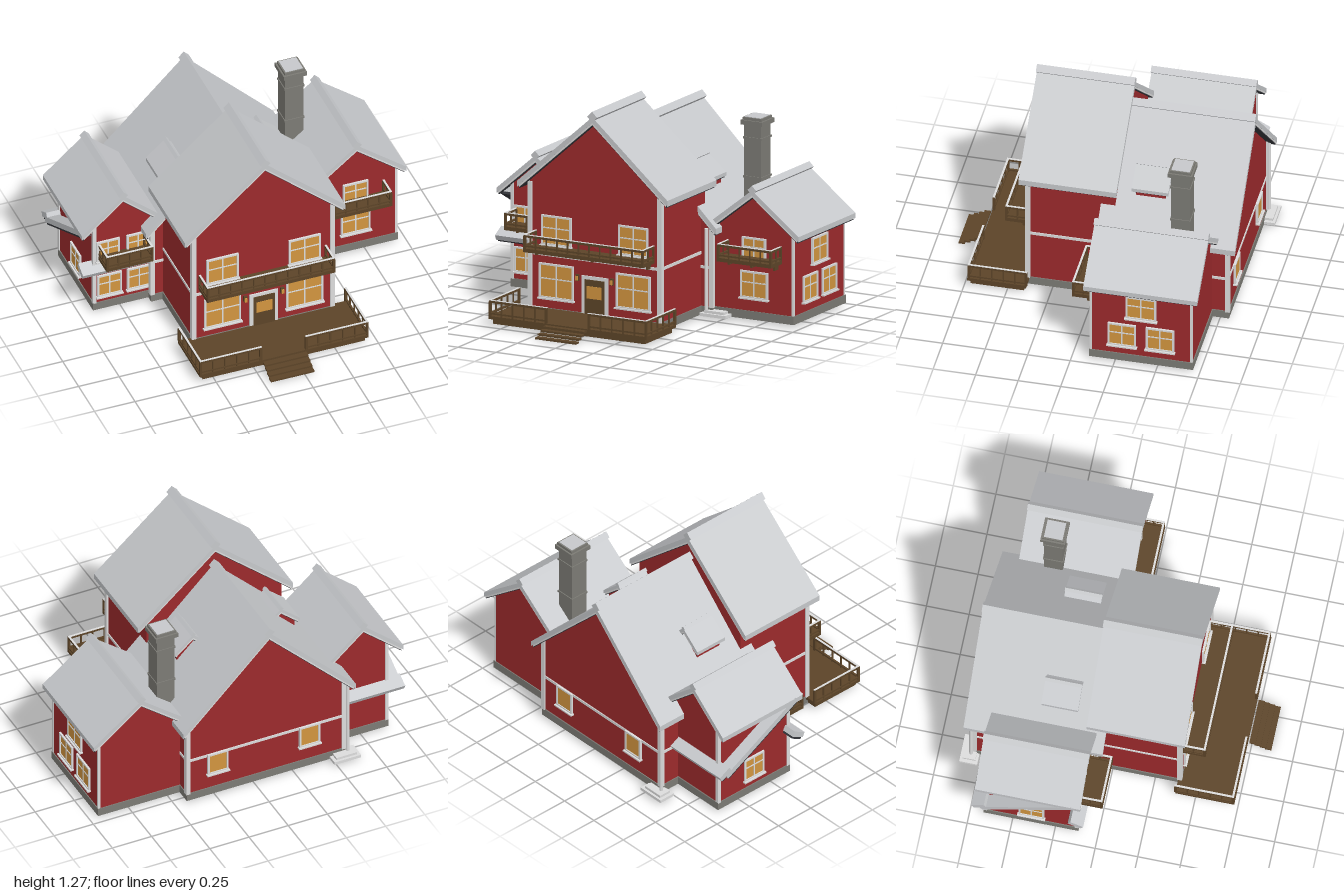
import * as THREE from 'three';

const mat = (name, color) => Object.assign(new THREE.MeshStandardMaterial({ color }), { name });

export function createModel() {
  const root = new THREE.Group();
  root.name = 'house';
  const wall = mat('barn red', 0x9c2a2c), roofM = mat('roof grey', 0xc6c8cb), trim = mat('trim white', 0xdcdcdc);
  const dark = mat('soffit dark', 0x34363b), stone = mat('stone grey', 0x7c7b75);
  const wood = mat('wood brown', 0x5c4428), glass = mat('window amber', 0xd2953f);

  // box given by its minimum and maximum on each axis
  const box = (name, m, x0, x1, y0, y1, z0, z1, parent = root) => {
    const b = new THREE.Mesh(new THREE.BoxGeometry(x1 - x0, y1 - y0, z1 - z0), m);
    b.position.set((x0 + x1) / 2, (y0 + y1) / 2, (z0 + z1) / 2);
    b.name = name;
    parent.add(b);
    return b;
  };
  // polygon in x, y extruded from z0 to z1
  const prism = (name, m, pts, z0, z1) => {
    const s = new THREE.Shape(pts.map(p => new THREE.Vector2(p[0], p[1])));
    const b = new THREE.Mesh(new THREE.ExtrudeGeometry(s, { depth: z1 - z0, bevelEnabled: false }), m);
    b.position.z = z0;
    b.name = name;
    root.add(b);
  };

  // gabled roof: light slab, white rake boards, dark soffit and square ridge cap
  const roof = (name, cx, ridge, half, eave, z0, z1, t = 0.035, cap = 0.046) => {
    const k = (ridge - eave) / half;
    const chevron = (part, m, h, drop, th, a, b) => prism(name + part, m, [
      [cx, ridge - drop], [cx - h, ridge - drop - k * h], [cx - h, ridge - drop - th - k * h],
      [cx, ridge - drop - th], [cx + h, ridge - drop - th - k * h], [cx + h, ridge - drop - k * h]], a, b);
    chevron('Slab', roofM, half, 0, t, z0, z1);
    chevron('Soffit', dark, half - 0.01, t, 0.018, z0 + 0.006, z1 - 0.006);
    chevron('RakeFront', trim, half - 0.012, t, 0.012, z1 - 0.006, z1 - 0.001);
    chevron('RakeBack', trim, half - 0.012, t, 0.012, z0 + 0.001, z0 + 0.006);
    if (cap) {
      const c = box(name + 'RidgeCap', roofM, -cap / 2, cap / 2, -cap / 2, cap / 2, z0 - 0.002, z1 + 0.002);
      c.position.set(cx, ridge, (z0 + z1) / 2);
      c.rotation.z = Math.PI / 4;
    }
  };
  // five-sided wall block with its stone foundation
  const block = (name, x0, x1, z0, z1, cx, ridge, k) => {
    const y = x => ridge - 0.045 - k * Math.abs(x - cx);
    prism(name + 'Walls', wall, [[x0, 0.06], [x1, 0.06], [x1, y(x1)], [cx, ridge - 0.045], [x0, y(x0)]], z0, z1);
    box(name + 'Foundation', stone, x0 - 0.006, x1 + 0.006, 0.015, 0.064, z0 - 0.006, z1 + 0.006);
  };
  const post = (x, z, top, w = 0.028) =>
    box('cornerBoard', trim, x - w / 2, x + w / 2, 0.06, top, z - w / 2, z + w / 2);

  // the four volumes and their roofs
  block('frontBlock', -0.505, 0.355, -0.12, 0.4, -0.075, 1.235, 0.88);
  roof('frontRoof', -0.075, 1.235, 0.495, 0.8, -0.14, 0.435);
  block('rearBlock', -0.575, 0.425, -0.8, -0.075, -0.075, 1.09, 1);
  roof('rearRoof', -0.075, 1.09, 0.55, 0.54, -0.85, -0.035);
  block('leftWing', 0.4, 0.945, -0.705, -0.105, 0.69, 0.785, 0.8);
  roof('leftWingRoof', 0.69, 0.785, 0.305, 0.545, -0.745, -0.075, 0.03, 0.04);
  block('rightWing', -0.915, -0.55, -0.665, -0.12, -0.745, 0.815, 0.87);
  roof('rightWingRoof', -0.745, 0.815, 0.255, 0.593, -0.705, -0.088, 0.03, 0.04);

  // corner boards
  for (const x of [-0.502, 0.352]) post(x, 0.394, 0.8);
  for (const x of [-0.572, 0.422]) for (const z of [-0.796, -0.082]) post(x, z, 0.56);
  for (const z of [-0.7, -0.11]) post(0.941, z, 0.55, 0.014);
  for (const z of [-0.66, -0.125]) post(-0.911, z, 0.63, 0.022);

  // storey bands
  box('frontBand', trim, -0.51, 0.36, 0.37, 0.388, -0.07, 0.405);
  box('rearBand', trim, -0.58, 0.43, 0.287, 0.304, -0.805, -0.07);

  // skirt roof round the right wing, its side slab sloping up to the front
  const skirt = (name, sx, sz, x, y, z, tilt) => {
    const g = new THREE.Group();
    g.name = name;
    box('skirtSlab', roofM, -sx / 2, sx / 2, -0.012, 0.022, -sz / 2, sz / 2, g);
    box('skirtSoffit', dark, -sx / 2 + 0.006, sx / 2 - 0.006, -0.026, -0.012, -sz / 2 + 0.006, sz / 2 - 0.006, g);
    g.position.set(x, y, z);
    g.rotation.x = tilt;
    root.add(g);
  };
  skirt('frontSkirt', 0.44, 0.085, -0.78, 0.317, -0.118, 0.49);
  skirt('backSkirt', 0.42, 0.085, -0.79, 0.317, -0.68, -0.49);
  skirt('sideSkirt', 0.075, 0.61, -0.962, 0.435, -0.4, -0.49);

  // dormers on the rear roof
  for (const s of [-1, 1]) {
    const cx = -0.075 + s * 0.28;
    const e = cx + s * 0.095, i = cx - s * 0.03;
    prism('dormerWalls', wall, [[cx, 0.85], [e, 0.76], [e, 0.65], [i, 0.7], [i, 0.82]], -0.405, -0.23);
    roof('dormerRoof', cx, 0.878, 0.12, 0.775, -0.425, -0.21, 0.022, 0.022);
  }

  // chimney
  box('chimneyStack', stone, 0.407, 0.52, 0.4, 1.06, -0.595, -0.485);
  for (const y of [0.74, 0.97]) box('chimneyBand', stone, 0.402, 0.525, y, y + 0.012, -0.6, -0.48);
  box('chimneyCrown', stone, 0.392, 0.535, 1.055, 1.082, -0.613, -0.468);
  box('chimneyLip', stone, 0.402, 0.525, 1.082, 1.098, -0.603, -0.478);
  box('chimneyTop', roofM, 0.41, 0.517, 1.096, 1.101, -0.595, -0.486);

  // windows: glass, frame, glazing bars and sill
  const win = (x, y, z, w, h, ry = 0, bars = true) => {
    const g = new THREE.Group();
    g.name = 'window';
    const f = 0.011, W = w / 2, H = h / 2;
    box('glass', glass, -W, W, -H, H, -0.004, 0.004, g);
    for (const s of [-1, 1]) {
      box('frameSide', trim, s * W - f / 2, s * W + f / 2, -H, H, -0.004, 0.01, g);
      box('frameRail', trim, -W - f / 2, W + f / 2, s * H - f / 2, s * H + f / 2, -0.004, 0.01, g);
    }
    if (bars) {
      box('mullion', trim, -0.004, 0.004, -H, H, -0.004, 0.007, g);
      box('crossBar', trim, -W, W, 0.01, 0.017, -0.004, 0.007, g);
    }
    box('sill', trim, -W - 0.012, W + 0.012, -H - 0.012, -H - 0.003, -0.004, 0.02, g);
    g.position.set(x, y, z);
    g.rotation.y = ry;
    root.add(g);
  };
  for (const x of [-0.327, 0.179]) {
    win(x, 0.225, 0.402, 0.215, 0.195);
    win(x, 0.525, 0.402, 0.185, 0.165);
  }
  win(0.69, 0.22, -0.103, 0.17, 0.15);
  win(0.69, 0.43, -0.103, 0.145, 0.13);
  for (const x of [-0.82, -0.636]) {
    win(x, 0.18, -0.118, 0.14, 0.14);
    win(x - 0.008, 0.43, -0.118, 0.13, 0.13);
  }
  for (const [y, z, w] of [[0.405, -0.405, 0.17], [0.2, -0.293, 0.155], [0.2, -0.517, 0.155]])
    win(0.947, y, z, w, 0.145, Math.PI / 2);
  win(-0.917, 0.19, -0.39, 0.14, 0.14, -Math.PI / 2);
  for (const x of [0.235, -0.35]) win(x, 0.235, -0.806, 0.12, 0.13, Math.PI, false);

  // front door and lamps
  box('doorFrame', trim, -0.16, 0.014, 0.06, 0.285, 0.39, 0.408);
  box('door', wood, -0.138, -0.008, 0.06, 0.265, 0.4, 0.414);
  box('doorGlass', glass, -0.122, -0.024, 0.155, 0.228, 0.41, 0.417);
  for (const x of [-0.187, 0.04]) {
    box('lampBracket', wood, x - 0.01, x + 0.01, 0.25, 0.288, 0.4, 0.416);
    box('lamp', glass, x - 0.007, x + 0.007, 0.254, 0.28, 0.414, 0.424);
  }

  // railing run along x or z with posts and a light cap
  const rail = (x0, x1, z0, z1, y, h) => {
    const r = 0.006, L = Math.max(x1 - x0, z1 - z0), n = Math.max(2, Math.round(L / 0.07));
    box('topRail', wood, x0 - r, x1 + r, y + h - 0.016, y + h - 0.003, z0 - r, z1 + r);
    box('railCap', trim, x0 - r, x1 + r, y + h - 0.003, y + h, z0 - r, z1 + r);
    box('lowRail', wood, x0 - r, x1 + r, y + 0.012, y + 0.022, z0 - r, z1 + r);
    for (let i = 0; i <= n; i++) {
      const x = x0 + (x1 - x0) * i / n, z = z0 + (z1 - z0) * i / n, q = i % n ? 0.004 : 0.007;
      box('baluster', wood, x - q, x + q, y, y + h - 0.01, z - q, z + q);
    }
  };

  // balconies with brackets
  const balcony = (x0, x1, z0, z1, y) => {
    box('balconyFloor', wood, x0, x1, y, y + 0.022, z0, z1);
    rail(x0 + 0.007, x1 - 0.007, z1 - 0.007, z1 - 0.007, y + 0.02, 0.084);
    for (const x of [x0 + 0.007, x1 - 0.007]) rail(x, x, z0, z1 - 0.007, y + 0.02, 0.084);
    for (const x of [x0 + 0.03, (x0 + x1) / 2, x1 - 0.03])
      box('balconyBracket', wood, x - 0.006, x + 0.006, y - 0.035, y, z0, z0 + 0.04);
  };
  balcony(-0.472, 0.317, 0.4, 0.537, 0.412);
  balcony(0.51, 0.87, -0.105, 0.02, 0.365);
  balcony(-0.89, -0.6, -0.12, 0.02, 0.38);

  // porch deck, railings and steps
  box('deckBase', wood, -0.57, 0.43, 0.015, 0.046, 0.4, 0.715);
  box('deckTop', wood, -0.592, 0.447, 0.044, 0.062, 0.385, 0.73);
  for (const x of [-0.585, 0.44]) rail(x, x, 0.385, 0.722, 0.06, 0.096);
  rail(-0.585, -0.215, 0.722, 0.722, 0.06, 0.096);
  rail(0.065, 0.44, 0.722, 0.722, 0.06, 0.096);
  for (let i = 0; i < 4; i++)
    box('step', wood, -0.208, 0.06, 0.045 - i * 0.015, 0.056 - i * 0.015, 0.738 + i * 0.031, 0.774 + i * 0.031);

  // downpipes and splash blocks at two corners
  const spout = (x, z, x0, x1, z0, z1) => {
    const p = new THREE.Mesh(new THREE.CylinderGeometry(0.011, 0.011, 0.49, 10), trim);
    p.position.set(x, 0.285, z);
    p.name = 'downpipe';
    root.add(p);
    box('splashBlock', trim, x0, x1, 0.015, 0.033, z0, z1);
    box('splashTop', trim, x0 + 0.02, x1 - 0.02, 0.033, 0.048, z0 + 0.015, z1 - 0.015);
  };
  spout(0.4, -0.055, 0.37, 0.54, -0.11, -0.03);
  spout(-0.592, -0.812, -0.65, -0.48, -0.87, -0.765);

  return root;
}
